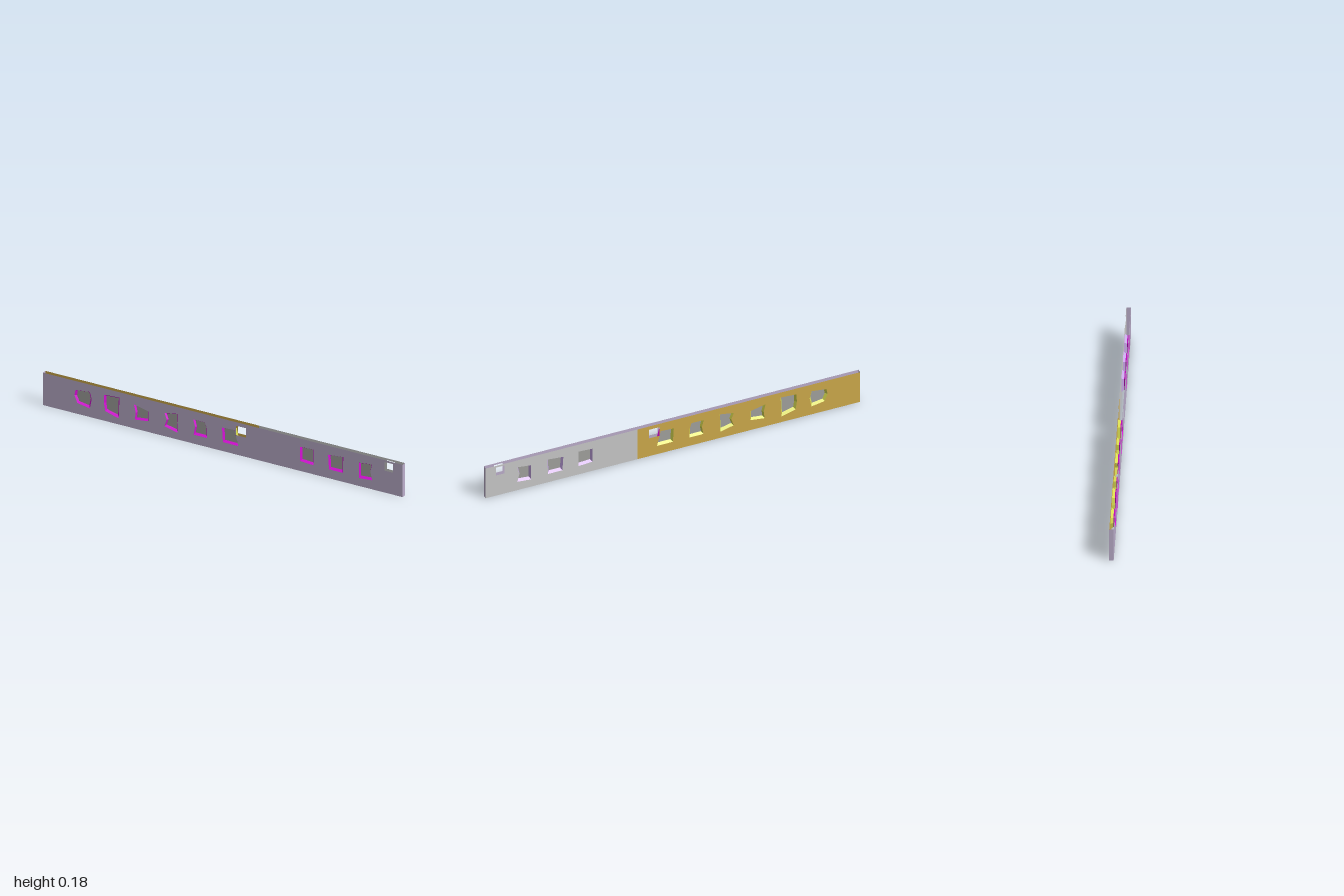
import * as THREE from 'three';

const FRONT = 0.011, BACK = -0.011, PANE = 0.002, HEIGHT = 0.18, SPLIT = 0.19;

// window outlines, counter-clockwise seen from the front
const WINDOWS = [
  [[-0.81, 0.06], [-0.74, 0.048], [-0.73, 0.1], [-0.74, 0.14], [-0.82, 0.13], [-0.826, 0.1]],
  [[-0.655, 0.055], [-0.58, 0.033], [-0.575, 0.15], [-0.66, 0.145], [-0.662, 0.1]],
  [[-0.49, 0.05], [-0.415, 0.06], [-0.415, 0.115], [-0.495, 0.133], [-0.485, 0.09]],
  [[-0.325, 0.055], [-0.253, 0.037], [-0.25, 0.143], [-0.325, 0.13], [-0.312, 0.095]],
  [[-0.163, 0.05], [-0.088, 0.05], [-0.088, 0.1], [-0.1, 0.134], [-0.165, 0.134], [-0.155, 0.095]],
  [[0, 0.05], [0.085, 0.05], [0.065, 0.134], [-0.005, 0.13]],
  [[0.43, 0.055], [0.505, 0.05], [0.505, 0.138], [0.43, 0.134]],
  [[0.59, 0.05], [0.667, 0.05], [0.67, 0.138], [0.585, 0.13]],
  [[0.757, 0.044], [0.83, 0.05], [0.82, 0.095], [0.83, 0.138], [0.757, 0.13]],
];
const rect = (x0, y0, x1, y1) => [[x0, y0], [x1, y0], [x1, y1], [x0, y1]];
const HOLES = [rect(0.072, 0.108, 0.127, 0.16), rect(0.9, 0.122, 0.945, 0.17)];

const material = (color) => new THREE.MeshStandardMaterial({ color, side: THREE.DoubleSide, flatShading: true });
const mauve = material(0xbeb0cd), ochre = material(0xd0ac4c), grey = material(0xcccccc);
const magenta = material(0xe010e0), lime = material(0xd8dc50), lilac = material(0xc8a8e8), glass = material(0xa4a4a0);

const toShape = (pts) => new THREE.Shape(pts.map(([x, y]) => new THREE.Vector2(x, y)));

// flat sheet between two x values, pierced by the openings that lie inside it
function sheet(name, x0, x1, z, mat, openings = []) {
  const shape = toShape(rect(x0, 0, x1, HEIGHT));
  for (const o of openings) if (o[0][0] > x0 && o[0][0] < x1) shape.holes.push(toShape(o));
  const geometry = new THREE.ShapeGeometry(shape);
  if (z < 0) geometry.index.array.reverse(), geometry.attributes.normal.array.forEach((v, i, a) => { a[i] = -v; });
  const mesh = new THREE.Mesh(geometry, mat);
  mesh.position.z = z;
  mesh.name = name;
  return mesh;
}

// pane outline: the opening drawn in, with a deeper sill than head
function inset(pts) {
  const xs = pts.map((p) => p[0]), ys = pts.map((p) => p[1]);
  const cx = (Math.min(...xs) + Math.max(...xs)) / 2, cy = (Math.min(...ys) + Math.max(...ys)) / 2;
  return pts.map(([x, y]) => [cx + (x - cx) * 0.8, y > cy ? cy + (y - cy) * 0.86 : cy + (y - cy) * 0.75]);
}

// sloping band joining an opening to its pane
function reveal(name, outer, inner, z, mat) {
  const pos = [];
  outer.forEach((a, i) => {
    const j = (i + 1) % outer.length;
    const A = [...a, z], B = [...outer[j], z], C = [...inner[j], PANE], D = [...inner[i], PANE];
    pos.push(...(z > PANE ? [A, B, C, A, C, D] : [A, C, B, A, D, C]).flat());
  });
  const geometry = new THREE.BufferGeometry();
  geometry.setAttribute('position', new THREE.Float32BufferAttribute(pos, 3));
  geometry.computeVertexNormals();
  const mesh = new THREE.Mesh(geometry, mat);
  mesh.name = name;
  return mesh;
}

export function createModel() {
  const group = new THREE.Group();
  group.name = 'windowWall';
  const openings = [...WINDOWS, ...HOLES];

  // wall sheets, open along the top and bottom
  group.add(sheet('frontWall', -1, 1, FRONT, mauve, openings));
  group.add(sheet('backWallRight', -1, SPLIT, BACK, ochre, openings));
  group.add(sheet('backWallLeft', SPLIT, 1, BACK, grey, openings));

  // end caps
  for (const side of [-1, 1]) {
    const cap = new THREE.Mesh(new THREE.PlaneGeometry(FRONT - BACK, HEIGHT), mauve);
    cap.rotation.y = side * Math.PI / 2;
    cap.position.set(side, HEIGHT / 2, 0);
    cap.name = side > 0 ? 'leftEnd' : 'rightEnd';
    group.add(cap);
  }

  // windows: pane with a reveal on each face
  for (const outer of WINDOWS) {
    const inner = inset(outer), unit = new THREE.Group();
    unit.name = 'window';
    const pane = new THREE.Mesh(new THREE.ShapeGeometry(toShape(inner)), glass);
    pane.position.z = PANE;
    pane.name = 'pane';
    unit.add(pane, reveal('frontReveal', outer, inner, FRONT, magenta),
      reveal('backReveal', outer, inner, BACK, outer[0][0] < SPLIT ? lime : lilac));
    group.add(unit);
  }
  return group;
}
